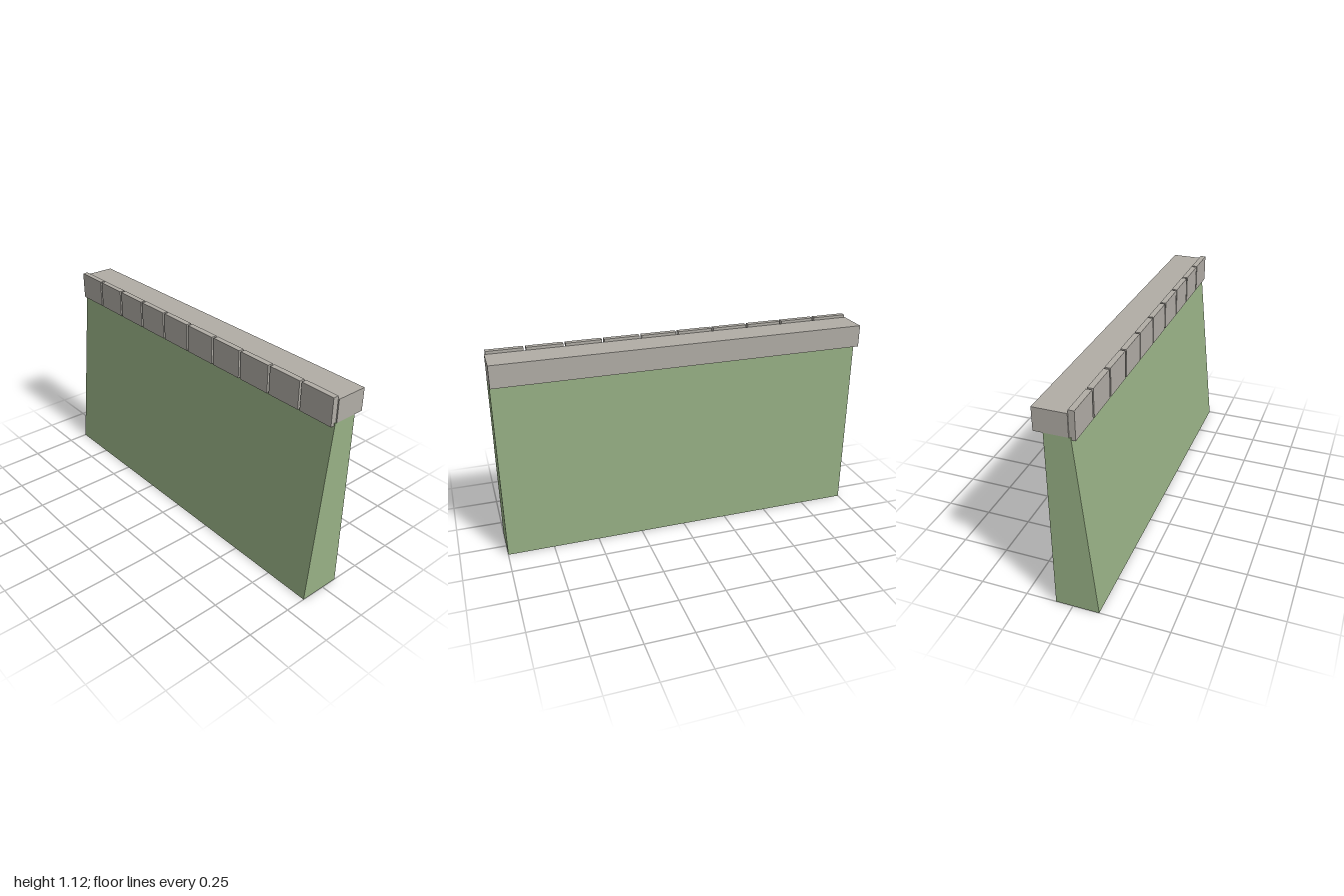
import * as THREE from 'three';

export function createModel() {
  const model = new THREE.Group();
  model.name = 'parapetWall';
  const green = new THREE.MeshStandardMaterial({ name: 'wallGreen', color: 0x98b185 });
  const grey = new THREE.MeshStandardMaterial({ name: 'copingGrey', color: 0xb1ada6 });

  // Box given by its lower and upper corners
  const box = (name, material, [x0, y0, z0], [x1, y1, z1], parent) => {
    const mesh = new THREE.Mesh(new THREE.BoxGeometry(x1 - x0, y1 - y0, z1 - z0), material);
    mesh.position.set((x0 + x1) / 2, (y0 + y1) / 2, (z0 + z1) / 2);
    mesh.name = name;
    parent.add(mesh);
  };

  // Wall: battered front, vertical back; profile in (-z, y) run along x
  const profile = new THREE.Shape([
    new THREE.Vector2(-0.138, 0),
    new THREE.Vector2(0.09, 0),
    new THREE.Vector2(0.09, 0.981),
    new THREE.Vector2(-0.04, 0.981),
  ]);
  const wallGeometry = new THREE.ExtrudeGeometry(profile, { depth: 2, bevelEnabled: false });
  wallGeometry.translate(0, 0, -1).rotateY(Math.PI / 2);
  const wall = new THREE.Mesh(wallGeometry, green);
  wall.name = 'batteredWall';
  model.add(wall);

  // Coping beam overhanging the back
  box('copingBeam', grey, [-1, 0.981, -0.138], [1, 1.1, 0.03], model);

  // Row of facing panels with narrow joints
  const panels = new THREE.Group();
  panels.name = 'facingPanels';
  model.add(panels);
  const count = 10, pitch = 2 / count, joint = 0.006;
  for (let i = 0; i < count; i++) {
    const x = -1 + i * pitch;
    box(`facingPanel${i + 1}`, grey, [x + joint, 0.967, 0.03], [x + pitch - joint, 1.115, 0.06], panels);
  }
  return model;
}
